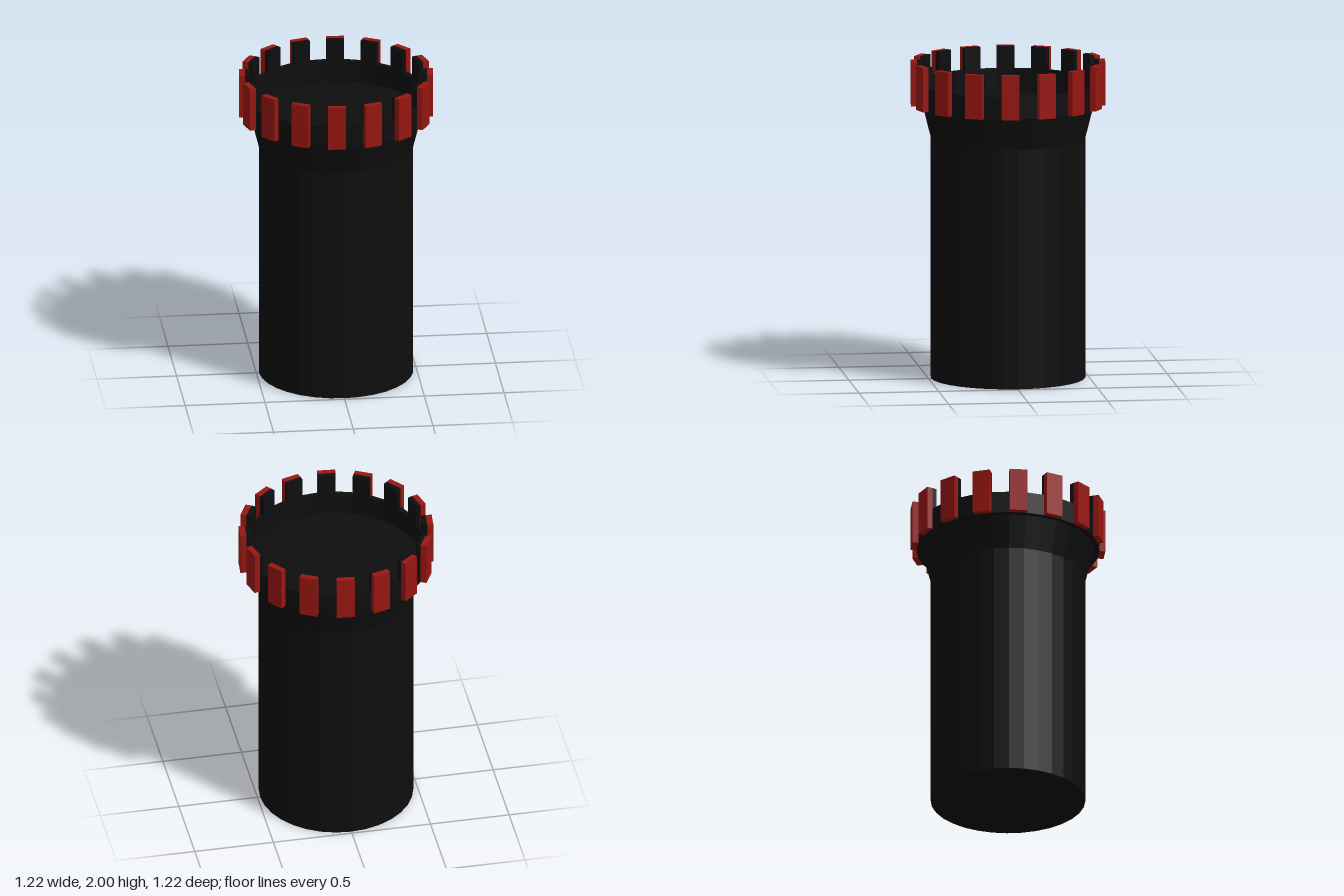
import * as THREE from 'three';

const SIDES = 32;
const STEP = (Math.PI * 2) / SIDES;
const R_IN = 0.54, R_OUT = 0.57;
const Y_FLOOR = 1.72, Y_GAP = 1.86, Y_TOP = 2;

const black = new THREE.MeshStandardMaterial({ color: 0x0e0e0e, flatShading: true });
const red = new THREE.MeshStandardMaterial({ color: 0x981611, flatShading: true });

// Upright prism over a plan outline of [x, distance from axis] corners
function prism(corners, y0, y1) {
  const shape = new THREE.Shape(corners.map(([x, d]) => new THREE.Vector2(x, d)));
  const geometry = new THREE.ExtrudeGeometry(shape, { depth: y1 - y0, bevelEnabled: false });
  geometry.rotateX(-Math.PI / 2);
  geometry.translate(0, y0, 0);
  return geometry;
}

export function createModel() {
  const model = new THREE.Group();
  model.name = 'tower';

  // Shaft, flared neck, low parapet and sunken floor in one turned profile
  const profile = [
    [0, 0], [0.483, 0], [0.483, 1.515], [0.535, Y_FLOOR], [R_OUT, Y_FLOOR],
    [R_OUT, Y_GAP], [R_IN, Y_GAP], [R_IN, Y_FLOOR], [0, Y_FLOOR],
  ].map(([r, y]) => new THREE.Vector2(r, y));
  const body = new THREE.Mesh(new THREE.LatheGeometry(profile, SIDES), black);
  body.name = 'towerBody';
  model.add(body);

  // Battlements sit on every second facet of the parapet
  const s = Math.sin(STEP / 2), c = Math.cos(STEP / 2);
  const wi = R_IN * s, wo = R_OUT * s, di = R_IN * c, dOut = R_OUT * c;
  const merlonGeometry = prism([[-wi, di], [wi, di], [wo, dOut], [-wo, dOut]], Y_GAP, Y_TOP);
  const panelGeometry = prism(
    [[-wo, dOut], [wo, dOut], [wo, dOut + 0.038], [-wo, dOut + 0.038]], Y_FLOOR, Y_TOP);

  for (let i = 0; i < SIDES / 2; i++) {
    const battlement = new THREE.Group();
    battlement.name = 'battlement';
    const merlon = new THREE.Mesh(merlonGeometry, black);
    merlon.name = 'merlon';
    const panel = new THREE.Mesh(panelGeometry, red);
    panel.name = 'redPanel';
    battlement.add(merlon, panel);
    battlement.rotation.y = (2 * i - 0.5) * STEP;
    model.add(battlement);
  }
  return model;
}
